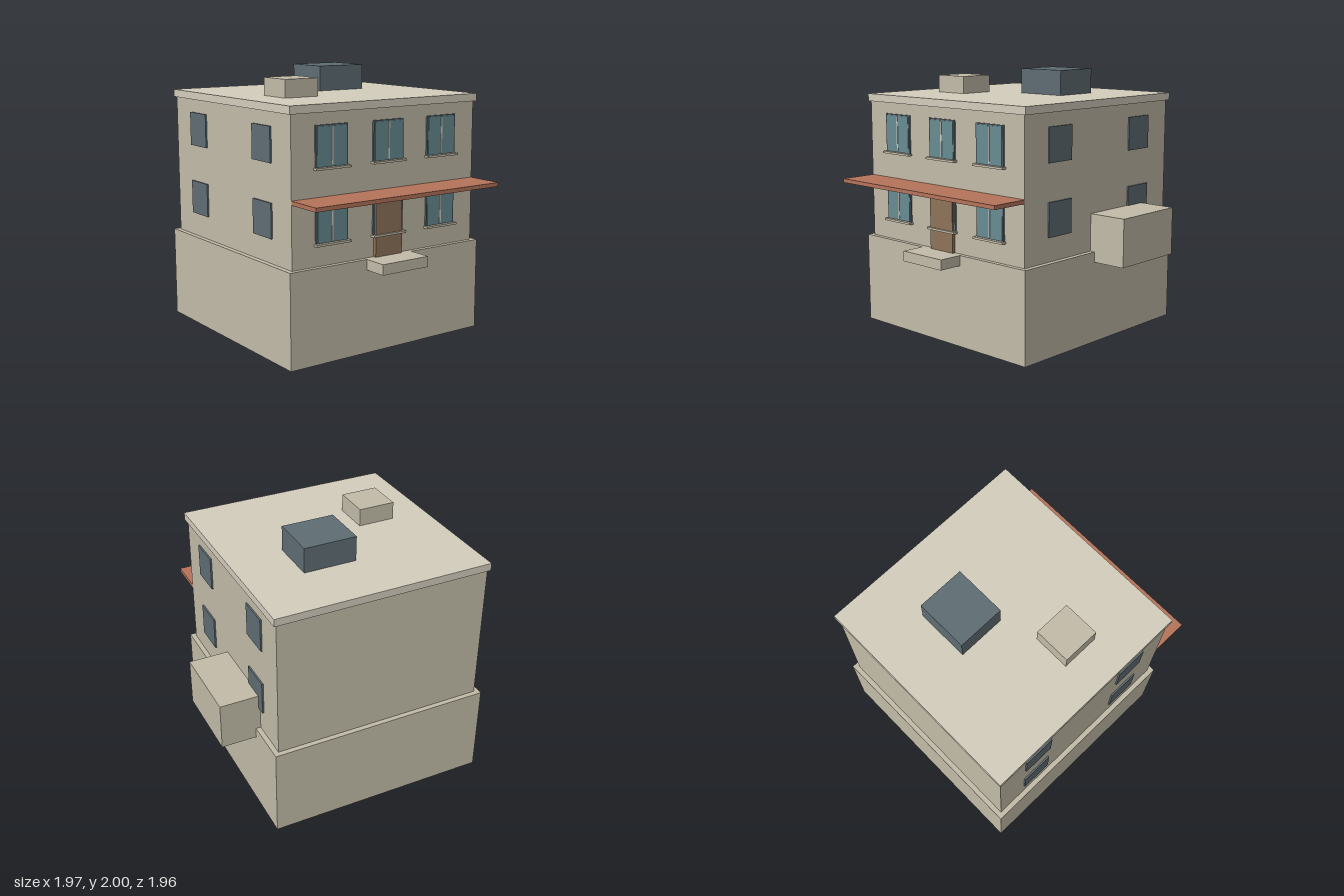
import * as THREE from 'three';

const mat = (color) => new THREE.MeshStandardMaterial({ color });

export function createModel() {
  const model = new THREE.Group();
  const wall = mat(0xc2bba8), pale = mat(0xd4cdbd), dark = mat(0x5f6d74);
  const glass = mat(0x668c93), wood = mat(0x8f745a), terracotta = mat(0xb5735a);

  // Box given by its extents on each axis
  const block = (name, material, [x0, x1], [y0, y1], [z0, z1], parent = model) => {
    const mesh = new THREE.Mesh(new THREE.BoxGeometry(x1 - x0, y1 - y0, z1 - z0), material);
    mesh.position.set((x0 + x1) / 2, (y0 + y1) / 2, (z0 + z1) / 2);
    mesh.name = name;
    parent.add(mesh);
  };

  // Main masses
  block('base', wall, [-0.985, 0.715], [0, 0.692], [-0.98, 0.725]);
  block('upperStoreys', wall, [-0.947, 0.677], [0.692, 1.753], [-0.942, 0.69]);
  block('roofSlab', pale, [-0.963, 0.698], [1.753, 1.81], [-0.96, 0.705]);
  block('sideAnnex', wall, [0.677, 0.98], [0.614, 0.975], [-0.634, -0.027]);

  // Rooftop boxes
  block('roofVent', wall, [-0.683, -0.402], [1.81, 1.943], [-0.066, 0.217]);
  block('roofUnit', dark, [-0.132, 0.27], [1.81, 2], [-0.514, -0.15]);

  // Entrance and canopy
  block('canopy', terracotta, [-0.947, 0.677], [1.145, 1.175], [0.69, 0.98]);
  block('doorstep', wall, [-0.339, 0.069], [0.614, 0.692], [0.725, 0.91]);
  block('door', wood, [-0.254, -0.016], [0.692, 1.098], [0.69, 0.716]);

  // Front windows: frame, pane, mullion and sill
  for (const y of [0.853, 1.379]) {
    for (const x of [-0.622, -0.133, 0.355]) {
      const win = new THREE.Group();
      win.name = 'frontWindow';
      win.position.set(x, y, 0.69);
      block('frame', dark, [-0.134, 0.134], [0, 0.29], [-0.01, 0.012], win);
      block('pane', glass, [-0.122, 0.122], [0.008, 0.28], [0, 0.016], win);
      block('mullion', pale, [-0.006, 0.006], [0.014, 0.274], [0, 0.02], win);
      block('sill', wall, [-0.146, 0.146], [-0.014, 0.002], [0, 0.04], win);
      model.add(win);
    }
  }

  // Side windows on both flanks
  for (const y of [0.87, 1.4]) {
    for (const z of [-0.582, 0.328]) {
      for (const x of [-0.947, 0.677]) {
        block('sideWindow', dark, [x - 0.012, x + 0.012], [y, y + 0.253], [z - 0.121, z + 0.121]);
      }
    }
  }
  return model;
}
